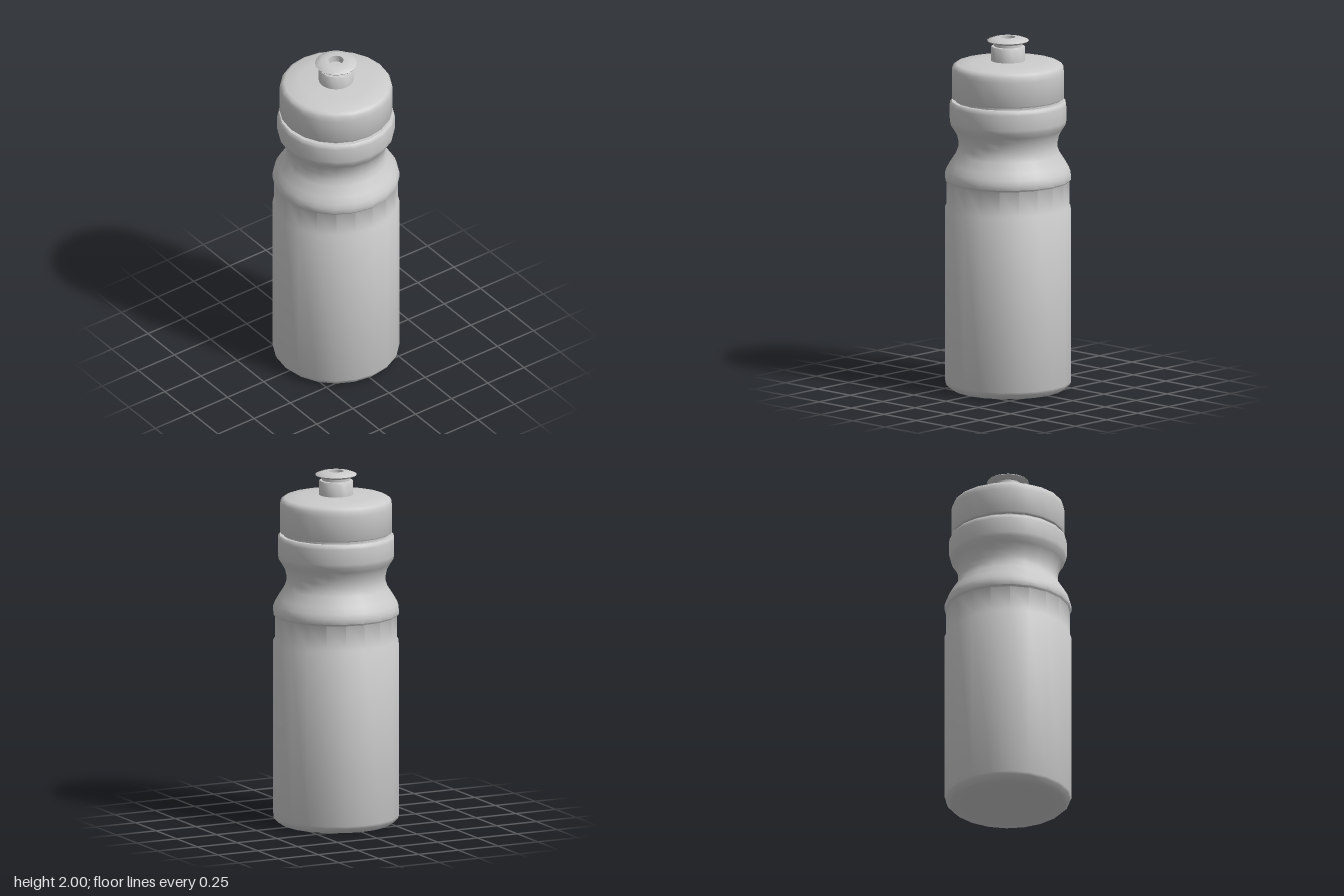
import * as THREE from 'three';
import { toCreasedNormals } from 'three/addons/utils/BufferGeometryUtils.js';

const SIDES = 20;

// Turned part: profile of [radius, height] pairs, running upwards on the outside
function turned(name, profile, material, crease = 0.75) {
  const points = profile.map(([r, y]) => new THREE.Vector2(r, y));
  const geometry = toCreasedNormals(new THREE.LatheGeometry(points, SIDES), crease);
  const mesh = new THREE.Mesh(geometry, material);
  mesh.name = name;
  return mesh;
}

export function createModel() {
  const group = new THREE.Group();
  group.name = 'sportsBottle';
  const grey = new THREE.MeshStandardMaterial({ color: 0xcccccc });

  // Body: chamfered base, straight wall, recessed band, shoulder, grip waist and collar
  group.add(turned('body', [
    [0, 0], [0.31, 0], [0.325, 0.008], [0.348, 0.03], [0.354, 0.045],
    [0.354, 1.03], [0.345, 1.045],
    [0.345, 1.185], [0.354, 1.195],
    [0.354, 1.225], [0.345, 1.25], [0.325, 1.285], [0.29, 1.34], [0.278, 1.375],
    [0.279, 1.41], [0.288, 1.45], [0.305, 1.48], [0.323, 1.508], [0.328, 1.53],
    [0.328, 1.615], [0.325, 1.63], [0.316, 1.64],
    [0.295, 1.64], [0.295, 1.67],
  ], grey));

  // Screw lid: straight skirt, rounded rim and slightly domed top
  group.add(turned('lid', [
    [0.29, 1.655], [0.311, 1.655], [0.316, 1.663],
    [0.316, 1.80], [0.313, 1.825], [0.304, 1.842], [0.287, 1.851],
    [0.2, 1.861], [0.1, 1.868], [0, 1.87],
  ], grey));

  // Spout: stem, narrow neck and flanged mouthpiece with a drinking hole
  group.add(turned('spoutStem', [
    [0.097, 1.86], [0.097, 1.94], [0.092, 1.948], [0.078, 1.95], [0.078, 1.97],
  ], grey));
  group.add(turned('mouthpiece', [
    [0.07, 1.964], [0.085, 1.966], [0.113, 1.976], [0.117, 1.981],
    [0.113, 1.985], [0.085, 1.995], [0.06, 2.0], [0.042, 2.0],
    [0.042, 1.96], [0, 1.96],
  ], grey));

  return group;
}
